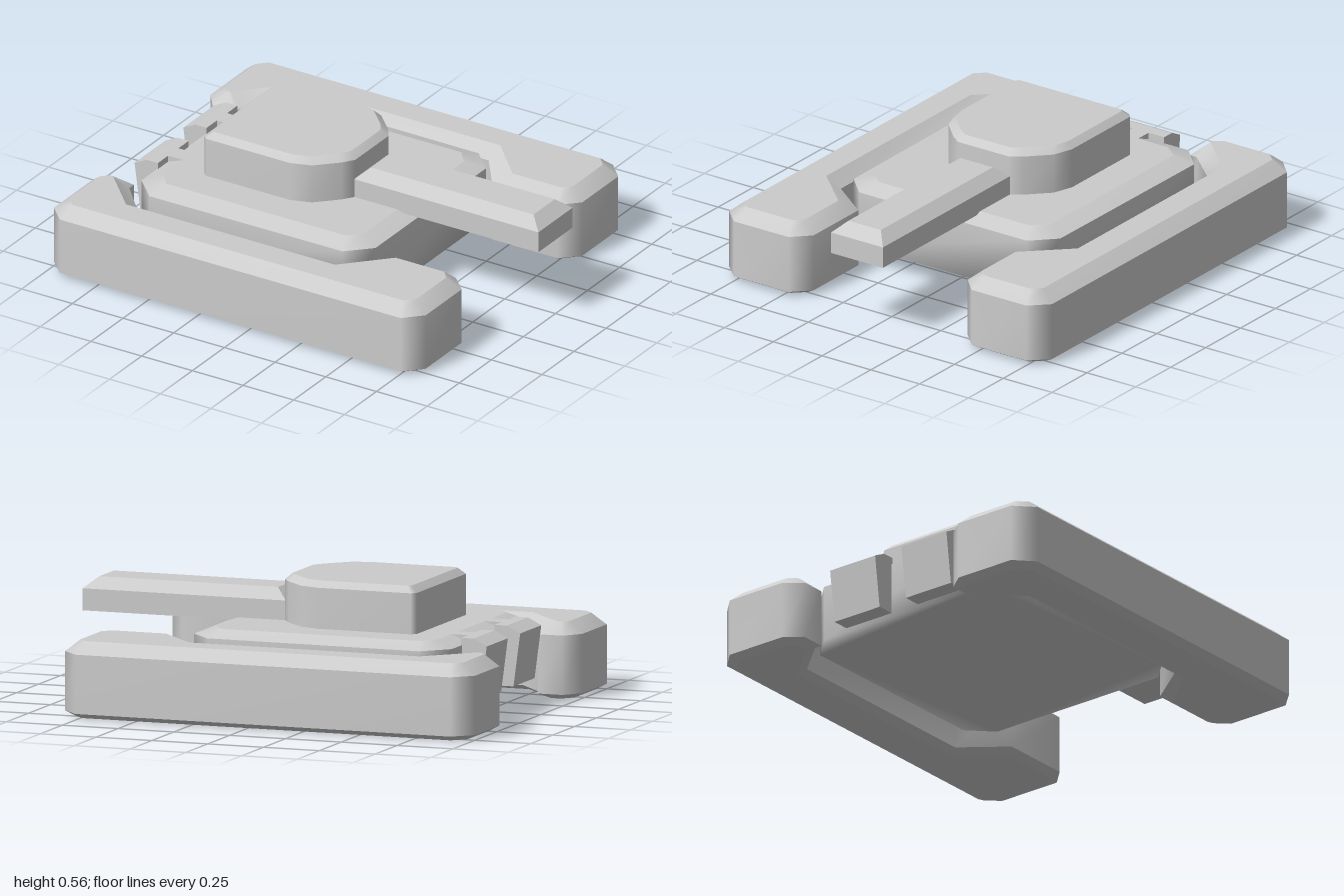
import * as THREE from 'three';
import { mergeGeometries } from 'three/addons/utils/BufferGeometryUtils.js';

const material = new THREE.MeshStandardMaterial({ color: 0xcccccc });

// Indexed geometry with its own smooth normals
function patch(points, index) {
  const g = new THREE.BufferGeometry();
  g.setAttribute('position', new THREE.Float32BufferAttribute(points.flat(), 3));
  g.setIndex(index);
  g.computeVertexNormals();
  return g;
}

// Stacks outlines [y, [[x, z], ...]] from bottom to top; each band is smooth
// around its ring and creased against its neighbours. softBase blends the
// underside into the walls.
function loft(name, sections, { softBase = false, flat = false } = {}) {
  const rings = sections.map(([y, outline]) => {
    const flatPts = outline.map(([x, z]) => new THREE.Vector2(x, -z));
    if (THREE.ShapeUtils.isClockWise(flatPts)) flatPts.reverse();
    return { flatPts, pts: flatPts.map((p) => [p.x, y, -p.y]) };
  });
  const n = rings[0].pts.length;
  const cap = (ring) => THREE.ShapeUtils.triangulateShape(ring.flatPts, []);
  const baseIndex = cap(rings[0]).flatMap(([a, b, c]) => [c, b, a]);
  const topRing = rings[rings.length - 1];
  const parts = [patch(topRing.pts, cap(topRing).flat())];
  if (!softBase) parts.push(patch(rings[0].pts, baseIndex));
  for (let k = 0; k + 1 < rings.length; k++) {
    const index = softBase && k === 0 ? [...baseIndex] : [];
    for (let i = 0; i < n; i++) {
      const j = (i + 1) % n;
      index.push(i, j, n + j, i, n + j, n + i);
    }
    parts.push(patch([...rings[k].pts, ...rings[k + 1].pts], index));
  }
  let geometry = mergeGeometries(parts);
  if (flat) {
    geometry = geometry.toNonIndexed();
    geometry.computeVertexNormals();
  }
  const mesh = new THREE.Mesh(geometry, material);
  mesh.name = name;
  return mesh;
}

// Completes an outline that is symmetric about z = 0
const mirrored = (half) => [...half, ...half.map(([x, z]) => [x, -z]).reverse()];
const flipZ = (outline, s) => outline.map(([x, z]) => [x, z * s]);
const blend = (a, b, t) =>
  a.map(([x, z], i) => [x + (b[i][0] - x) * t, z + (b[i][1] - z) * t]);
const rect = (x0, x1, z0, z1) => [[x0, z0], [x1, z0], [x1, z1], [x0, z1]];

export function createModel() {
  const model = new THREE.Group();
  model.name = 'tank';

  // Tracks: long blocks with a recess on the inner side for the hull
  const trackOuter = [
    [-1, 0.47], [-0.94, 0.395], [-0.83, 0.395], [-0.83, 0.43], [-0.69, 0.585],
    [0.3, 0.585], [0.44, 0.395], [0.76, 0.395], [0.835, 0.47], [0.835, 0.75],
    [0.76, 0.828], [-0.92, 0.828], [-1, 0.75],
  ];
  const trackInner = [
    [-0.94, 0.49], [-0.91, 0.455], [-0.9, 0.455], [-0.89, 0.46], [-0.71, 0.645],
    [0.32, 0.645], [0.5, 0.455], [0.74, 0.455], [0.775, 0.495], [0.775, 0.725],
    [0.735, 0.768], [-0.9, 0.768], [-0.94, 0.725],
  ];
  for (const [name, s] of [['frontTrack', 1], ['backTrack', -1]]) {
    const outer = flipZ(trackOuter, s);
    const inner = flipZ(trackInner, s);
    model.add(loft(name, [
      [0, blend(outer, inner, 0.65)], [0.022, outer], [0.272, outer], [0.322, inner],
    ]));
  }

  // Hull with a bevelled deck
  const hullOuter = mirrored([[-0.77, -0.43], [-0.665, -0.535], [0.285, -0.53], [0.385, -0.43]]);
  const hullDeck = mirrored([[-0.69, -0.385], [-0.635, -0.45], [0.25, -0.45], [0.305, -0.385]]);
  model.add(loft('hull', [[0.08, hullOuter], [0.325, hullOuter], [0.355, hullDeck]], { softBase: true }));

  // Rear brackets: a wide block with a narrow neck into the hull
  for (const s of [1, -1]) {
    const bracket = new THREE.Group();
    bracket.name = s > 0 ? 'frontRearBracket' : 'backRearBracket';
    const block = (name, x0, x1, z0, z1, slope) => loft(name, [
      [0.1, flipZ(rect(x0 + slope / 2, x1, z0, z1), s)],
      [0.325, flipZ(rect(x0, x1, z0, z1), s)],
      [0.355, flipZ(rect(x0 + slope, x1, z0, z1), s)],
    ], { flat: true });
    bracket.add(
      block('bracketBlock', -0.88, -0.765, 0.07, 0.31, 0.06),
      block('bracketNeck', -0.8, -0.68, 0.15, 0.23, 0),
    );
    model.add(bracket);
  }

  // Turret: square at the rear, rounded toward the gun
  const turretOuter = mirrored([
    [-0.555, -0.28], [-0.535, -0.3], [-0.12, -0.3], [-0.03, -0.27], [0.06, -0.18], [0.095, -0.13],
  ]);
  const turretTop = mirrored([
    [-0.525, -0.26], [-0.51, -0.273], [-0.13, -0.273], [-0.055, -0.25], [0.035, -0.16], [0.065, -0.115],
  ]);
  model.add(loft('turret', [[0.345, turretOuter], [0.528, turretOuter], [0.555, turretTop]]));

  // Gun barrel: flat bar with bevelled top
  const barrelOuter = rect(0.09, 1, -0.133, 0.133);
  model.add(loft('barrel', [
    [0.345, barrelOuter], [0.438, barrelOuter], [0.485, rect(0.145, 0.945, -0.083, 0.083)],
  ], { flat: true }));

  return model;
}
